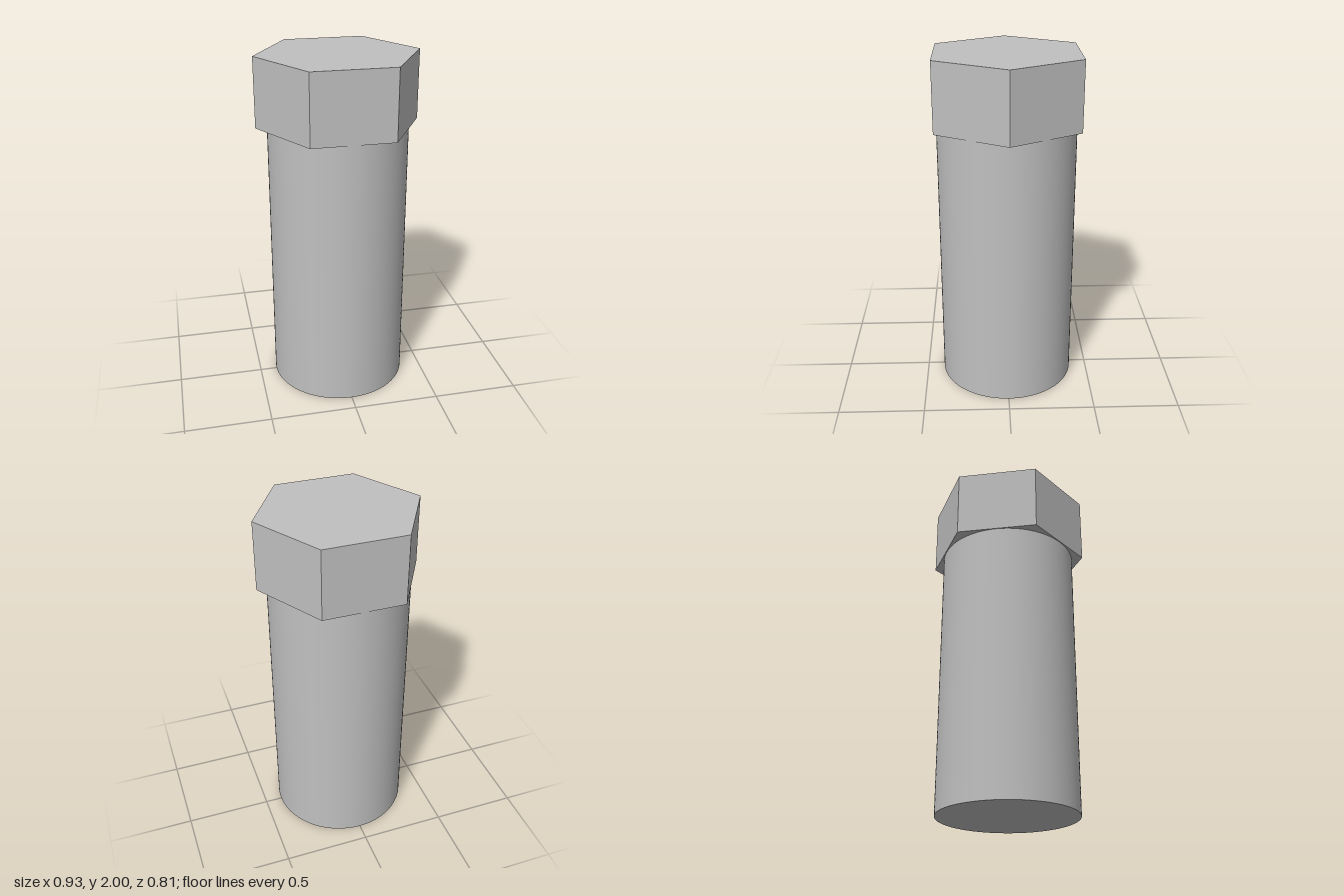
import * as THREE from 'three';

export function createModel() {
  const model = new THREE.Group();
  model.name = 'hexBolt';

  const steel = new THREE.MeshStandardMaterial({ color: 0xc0c0c0 });
  steel.name = 'steel grey';

  const shaftHeight = 1.6;
  const headHeight = 0.4;

  // Smooth round shaft
  const shaft = new THREE.Mesh(new THREE.CylinderGeometry(0.4, 0.4, shaftHeight, 96), steel);
  shaft.name = 'shaft';
  shaft.position.y = shaftHeight / 2;

  // Hexagonal head with corners on the x axis; unshared corners give flat faces
  const headGeometry = new THREE.CylinderGeometry(0.467, 0.467, headHeight, 6)
    .rotateY(Math.PI / 2)
    .toNonIndexed();
  headGeometry.computeVertexNormals();
  const head = new THREE.Mesh(headGeometry, steel);
  head.name = 'hexHead';
  head.position.y = shaftHeight + headHeight / 2;

  model.add(shaft, head);
  return model;
}
